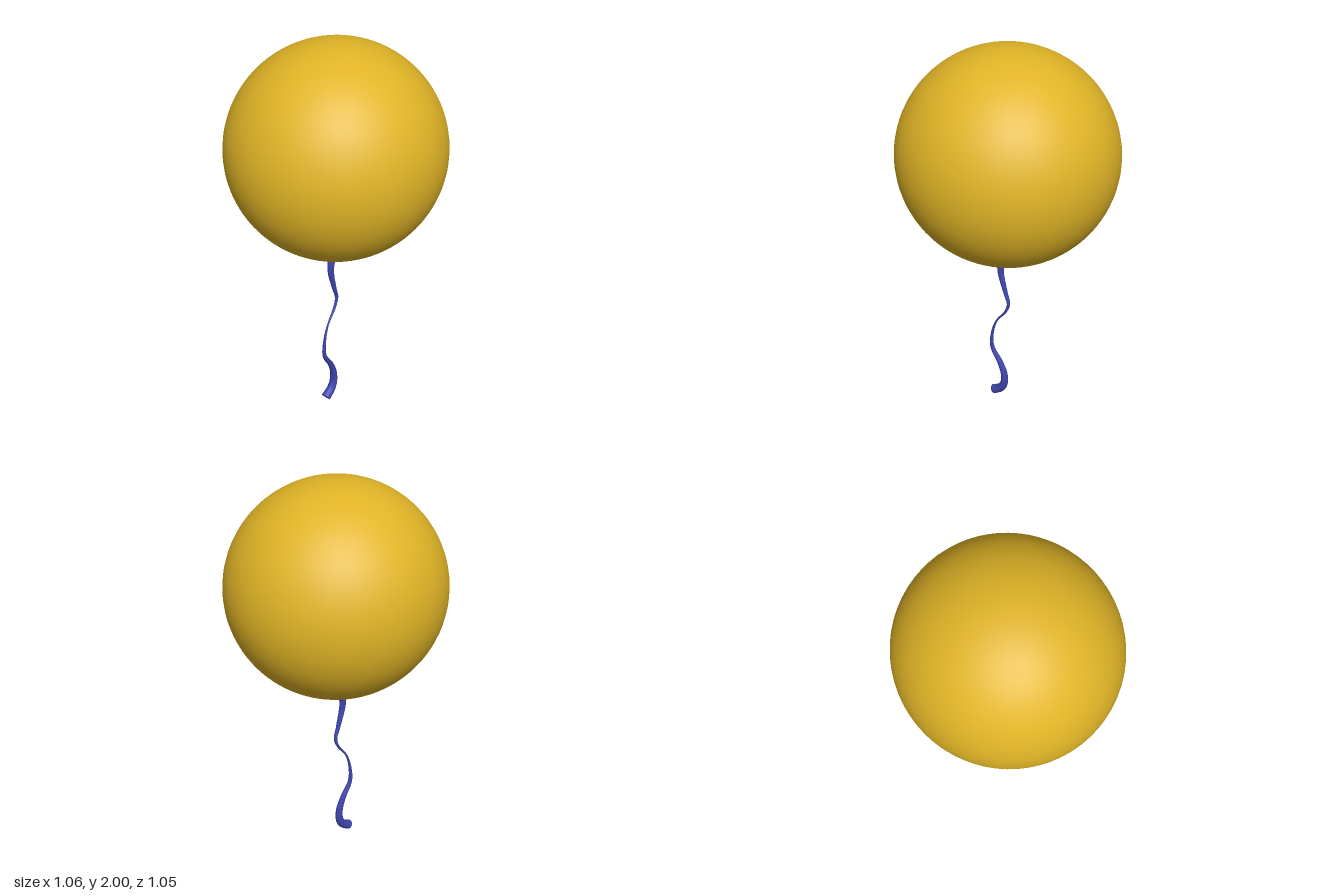
import * as THREE from 'three';

const gold = new THREE.MeshStandardMaterial({ name: 'gold', color: 0xe0b426 });
const blue = new THREE.MeshStandardMaterial({ name: 'blue', color: 0x3f46b0 });

// Centre line of the wavy string, from balloon to tail
const path = new THREE.CatmullRomCurve3([
  [0.03, 0.99], [0, 0.945], [-0.036, 0.87], [-0.043, 0.81], [-0.015, 0.69], [0.004, 0.62],
  [-0.015, 0.565], [-0.07, 0.485], [-0.097, 0.39], [-0.096, 0.305], [-0.05, 0.225],
  [-0.024, 0.156], [-0.024, 0.09], [-0.045, 0.05], [-0.088, 0.021],
].map(([x, y]) => new THREE.Vector3(x, y, 0)));

// The string is thick at both ends and thin in the middle
const radiusAt = (t) => 0.005 + 0.02 * Math.abs(2 * t - 1) ** 1.25;

function taperedTube(curve, segments, sides) {
  const geo = new THREE.TubeGeometry(curve, segments, 1, sides);
  const pos = geo.attributes.position;
  const v = new THREE.Vector3();
  for (let i = 0; i < pos.count; i++) {
    const t = Math.floor(i / (sides + 1)) / segments;
    const c = curve.getPointAt(t);
    v.fromBufferAttribute(pos, i).sub(c).multiplyScalar(radiusAt(t)).add(c);
    pos.setXYZ(i, v.x, v.y, v.z);
  }
  return geo;
}

export function createModel() {
  const model = new THREE.Group();
  model.name = 'balloon';

  // Slightly wide round balloon
  const body = new THREE.Mesh(new THREE.SphereGeometry(0.525, 64, 48), gold);
  body.name = 'balloonBody';
  body.scale.x = 0.532 / 0.525;
  body.position.y = 1.475;
  model.add(body);

  const string = new THREE.Group();
  string.name = 'string';
  const strand = new THREE.Mesh(taperedTube(path, 80, 16), blue);
  strand.name = 'strand';
  string.add(strand);

  // Flat cap on the tail end
  const cap = new THREE.Mesh(new THREE.CircleGeometry(radiusAt(1), 16), blue);
  cap.name = 'tailCap';
  const end = path.getPointAt(1);
  cap.position.copy(end);
  cap.lookAt(end.clone().add(path.getTangentAt(1)));
  string.add(cap);
  model.add(string);

  return model;
}
